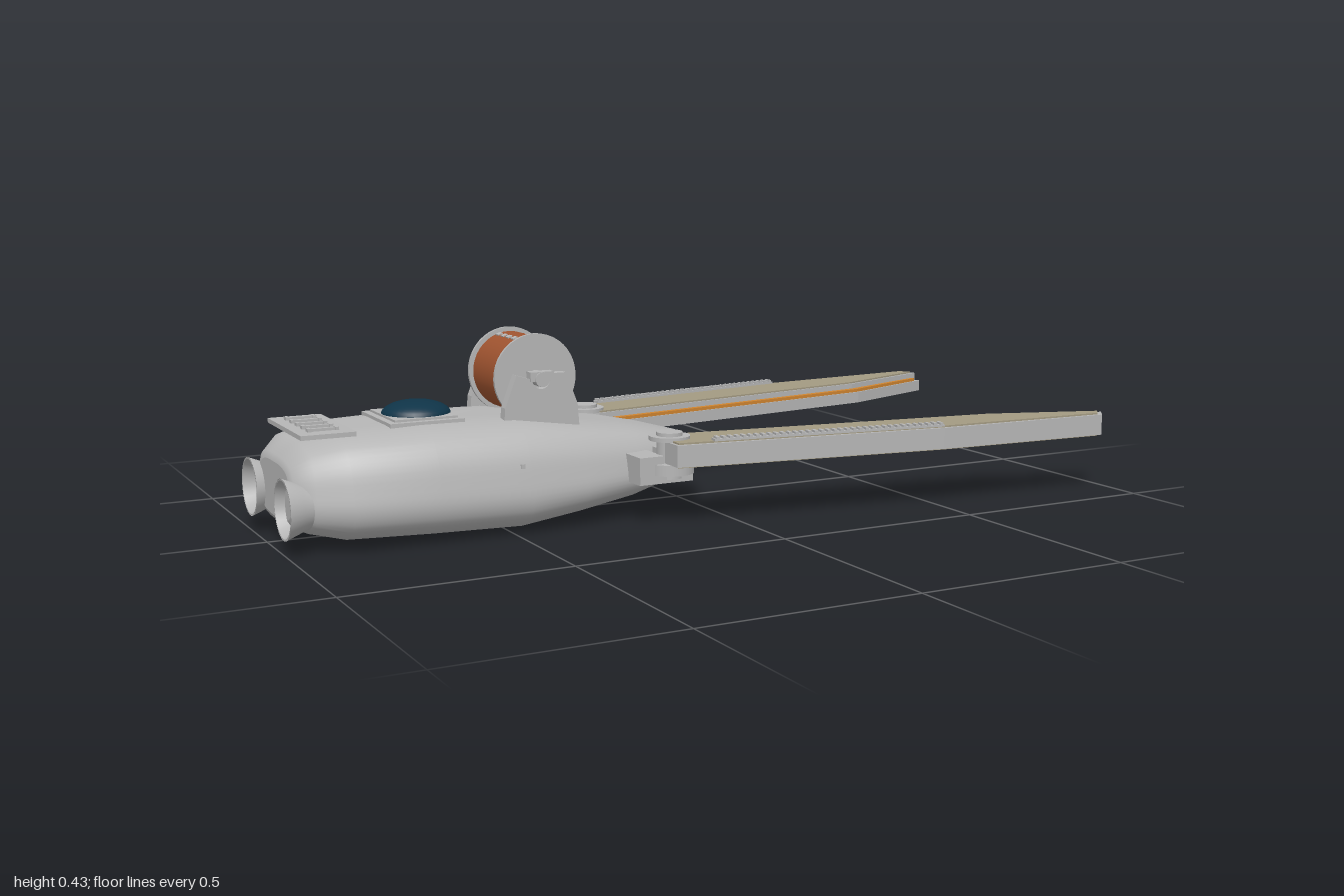
import * as THREE from 'three';

const mat = (name, color, side = THREE.FrontSide) => {
  const m = new THREE.MeshStandardMaterial({ color, side });
  m.name = name;
  return m;
};

export function createModel() {
  const root = new THREE.Group();
  root.name = 'carrierCraft';
  const grey = mat('hullGrey', 0xb6b6b6);
  const shell = mat('nozzleGrey', 0xb6b6b6, THREE.DoubleSide);
  const tan = mat('panelTan', 0xa39a82);
  const rust = mat('drumRust', 0xa05430);
  const blue = mat('domeBlue', 0x0f3448);
  const orange = mat('stripOrange', 0xd08530);

  const add = (name, geo, m, x = 0, y = 0, z = 0, parent = root) => {
    const mesh = new THREE.Mesh(geo, m);
    mesh.name = name;
    mesh.position.set(x, y, z);
    parent.add(mesh);
    return mesh;
  };
  const box = (name, m, x0, x1, y0, y1, z0, z1, parent = root) =>
    add(name, new THREE.BoxGeometry(x1 - x0, y1 - y0, Math.abs(z1 - z0)), m,
      (x0 + x1) / 2, (y0 + y1) / 2, (z0 + z1) / 2, parent);

  add('hull', hullGeometry(), grey);

  // Twin rear nozzles: thin flared bells
  for (const s of [-1, 1]) {
    const bell = [[0.035, 0.09], [0.044, 0.06], [0.052, 0.035], [0.066, 0], [0.061, 0], [0.047, 0.035], [0.03, 0.05], [0, 0.05]];
    const geo = new THREE.LatheGeometry(bell.map(p => new THREE.Vector2(...p)), 32);
    geo.rotateZ(-Math.PI / 2);
    add('nozzle', geo, shell, -1, 0.097, s * 0.135);
    box('sideRivet', grey, -0.495, -0.485, 0.15, 0.16, s * 0.19, s * 0.213);
  }

  // Rear vent plate with raised louvres
  box('ventPlate', grey, -0.955, -0.835, 0.238, 0.248, -0.13, 0.13);
  for (let i = -2; i <= 2; i++) {
    const z = i * 0.042;
    box('ventLouvre', grey, -0.925, -0.865, 0.248, 0.254, z - 0.005, z + 0.005);
    for (const x of [-0.925, -0.865]) box('louvreEnd', grey, x - 0.004, x + 0.004, 0.248, 0.255, z - 0.009, z + 0.009);
  }

  // Sensor dome on a stepped square base
  box('domeBase', grey, -0.75, -0.58, 0.225, 0.252, -0.1, 0.1);
  box('domeStep', grey, -0.735, -0.59, 0.252, 0.257, -0.085, 0.085);
  const dome = add('sensorDome', new THREE.SphereGeometry(0.077, 32, 10, 0, Math.PI * 2, 0, Math.PI / 2), blue, -0.657, 0.255, 0);
  dome.scale.y = 0.4;

  // Cable drum between two cradle brackets
  const drum = new THREE.Group();
  drum.name = 'drumAssembly';
  drum.position.set(-0.402, 0.328, 0);
  root.add(drum);
  const axle = (name, r, len, m, z, seg = 40) =>
    add(name, new THREE.CylinderGeometry(r, r, len, seg).rotateX(Math.PI / 2), m, 0, 0, z, drum);
  axle('drum', 0.089, 0.145, rust, 0);
  for (const s of [-1, 1]) {
    axle('drumFlange', 0.099, 0.008, grey, s * 0.077);
    axle('drumHub', 0.017, 0.045, grey, s * 0.1, 20);
    const shape = new THREE.Shape();
    shape.moveTo(-0.092, -0.11);
    shape.lineTo(0.092, -0.11);
    shape.lineTo(0.088, -0.06);
    shape.lineTo(0.06, 0.012);
    shape.lineTo(0.022, 0.012);
    shape.absarc(0, 0, 0.022, 0, Math.PI, true);
    shape.lineTo(-0.06, 0.012);
    shape.lineTo(-0.088, -0.06);
    add('drumBracket', new THREE.ExtrudeGeometry(shape, { depth: 0.024, bevelEnabled: false }), grey,
      0, 0, s * 0.102 - 0.012, drum);
    box('hubCap', grey, -0.028, 0.028, -0.004, 0.017, s * 0.094, s * 0.119, drum);
    for (let i = -2; i <= 2; i++) {
      const stud = box('drumStud', grey, -0.006, 0.006, -0.003, 0.003, -0.008, 0.008, drum);
      const a = s * 0.33;
      stud.position.set(Math.sin(a) * 0.0885, Math.cos(a) * 0.0885, i * 0.029);
      stud.rotation.z = -a;
    }
  }

  // Long forward arms, mirrored across z
  const rim = [[-0.16, 0.185], [-0.12, 0.16], [0.715, 0.277], [0.995, 0.38], [0.957, 0.425], [0.5, 0.397], [-0.16, 0.305]];
  const cap = [[-0.16, 0.205], [-0.12, 0.178], [0.705, 0.295], [0.985, 0.39], [0.957, 0.425], [0.5, 0.397], [-0.16, 0.305]];
  const panel = [[-0.153, 0.208], [-0.117, 0.183], [0.703, 0.3], [0.97, 0.392], [0.95, 0.417], [0.5, 0.389], [-0.153, 0.298]];
  const strip = [[-0.08, 0.169], [0.713, 0.281], [0.975, 0.377], [0.97, 0.389], [0.705, 0.296], [-0.08, 0.184]];
  for (const s of [-1, 1]) {
    const arm = new THREE.Group();
    arm.name = s > 0 ? 'leftArm' : 'rightArm';
    root.add(arm);
    const slab = (name, pts, y0, y1, m) => {
      const shape = new THREE.Shape(pts.map(([x, z]) => new THREE.Vector2(x, -s * z)));
      const geo = new THREE.ExtrudeGeometry(shape, { depth: y1 - y0, bevelEnabled: false });
      add(name, geo.rotateX(-Math.PI / 2), m, 0, y0, 0, arm);
    };
    slab('armBase', rim, 0.137, 0.166, grey);
    slab('armCap', cap, 0.166, 0.187, grey);
    slab('armTopPanel', panel, 0.187, 0.191, tan);
    slab('armBottomPanel', panel, 0.134, 0.137, tan);
    slab('armStrip', strip, 0.166, 0.174, orange);

    // Toothed rail along the outer edge
    const rail = new THREE.Group();
    rail.name = 'toothedRail';
    rail.position.set(0.215, 0.191, s * 0.348);
    rail.rotation.y = -s * Math.atan2(0.085, 0.57);
    arm.add(rail);
    box('railBase', grey, -0.288, 0.288, 0, 0.005, -0.01, 0.01, rail);
    for (let i = 0; i < 36; i++) {
      const x = -0.28 + i * 0.016;
      box('railTooth', grey, x - 0.004, x + 0.004, 0.005, 0.01, -0.01, 0.01, rail);
    }

    // Hinge pin, collars and hull bracket
    const disc = (name, r, y0, y1) =>
      add(name, new THREE.CylinderGeometry(r, r, y1 - y0, 32), grey, -0.138, (y0 + y1) / 2, s * 0.225, arm);
    disc('hingeCollar', 0.047, 0.187, 0.197);
    disc('hingePin', 0.03, 0.1, 0.205);
    disc('hingeLowerCollar', 0.056, 0.112, 0.137);
    box('hingeBracket', grey, -0.225, -0.165, 0.095, 0.155, s * 0.13, s * 0.25, arm);
    box('hingeFoot', grey, -0.225, -0.09, 0.092, 0.114, s * 0.13, s * 0.248, arm);
  }
  return root;
}

// Hull lofted along x from one rounded half-profile, blending to an ellipse at the nose
function hullGeometry() {
  const half = [[0, 0], [0.45, 0.005], [0.77, 0.06], [0.94, 0.17], [1, 0.32], [0.97, 0.52], [0.9, 0.74], [0.76, 0.91], [0.47, 0.99], [0, 1]];
  const loop = half.concat(half.slice(1, -1).reverse().map(([z, y]) => [-z, y]));
  const curve = new THREE.CatmullRomCurve3(loop.map(([z, y]) => new THREE.Vector3(0, y, z)), true);
  const n = 64;
  // x, bottom, top, half width, roundness
  const stations = [
    [-0.98, 0.055, 0.175, 0.13, 0.2], [-0.975, 0.045, 0.19, 0.15, 0.1], [-0.94, 0.03, 0.22, 0.185, 0],
    [-0.87, 0.014, 0.24, 0.22, 0], [-0.68, 0.006, 0.247, 0.223, 0], [-0.47, 0, 0.245, 0.222, 0],
    [-0.33, 0.018, 0.225, 0.208, 0], [-0.19, 0.038, 0.207, 0.188, 0.1], [-0.09, 0.055, 0.187, 0.145, 0.3],
    [0, 0.07, 0.163, 0.1, 0.6], [0.03, 0.076, 0.148, 0.06, 0.9], [0.041, 0.08, 0.142, 0.038, 1]];
  const pos = [], idx = [];
  const ring = ([x, y0, y1, w, round]) => {
    for (let i = 0; i < n; i++) {
      const p = curve.getPoint(i / n);
      const a = (i / n) * Math.PI * 2;
      const z = THREE.MathUtils.lerp(p.z, Math.sin(a), round);
      const y = THREE.MathUtils.lerp(p.y, 0.5 - Math.cos(a) / 2, round);
      pos.push(x, y0 + (y1 - y0) * y, z * w);
    }
  };
  stations.forEach(ring);
  for (let j = 0; j < stations.length - 1; j++) {
    for (let i = 0; i < n; i++) {
      const a = j * n + i, b = j * n + (i + 1) % n;
      idx.push(a, a + n, b, b, a + n, b + n);
    }
  }
  // Flat end caps
  for (const [st, flip] of [[stations[0], false], [stations.at(-1), true]]) {
    const start = pos.length / 3;
    ring(st);
    pos.push(st[0], (st[1] + st[2]) / 2, 0);
    for (let i = 0; i < n; i++) {
      const a = start + i, b = start + (i + 1) % n;
      idx.push(start + n, flip ? b : a, flip ? a : b);
    }
  }
  const geo = new THREE.BufferGeometry();
  geo.setAttribute('position', new THREE.Float32BufferAttribute(pos, 3));
  geo.setIndex(idx);
  geo.computeVertexNormals();
  return geo;
}
